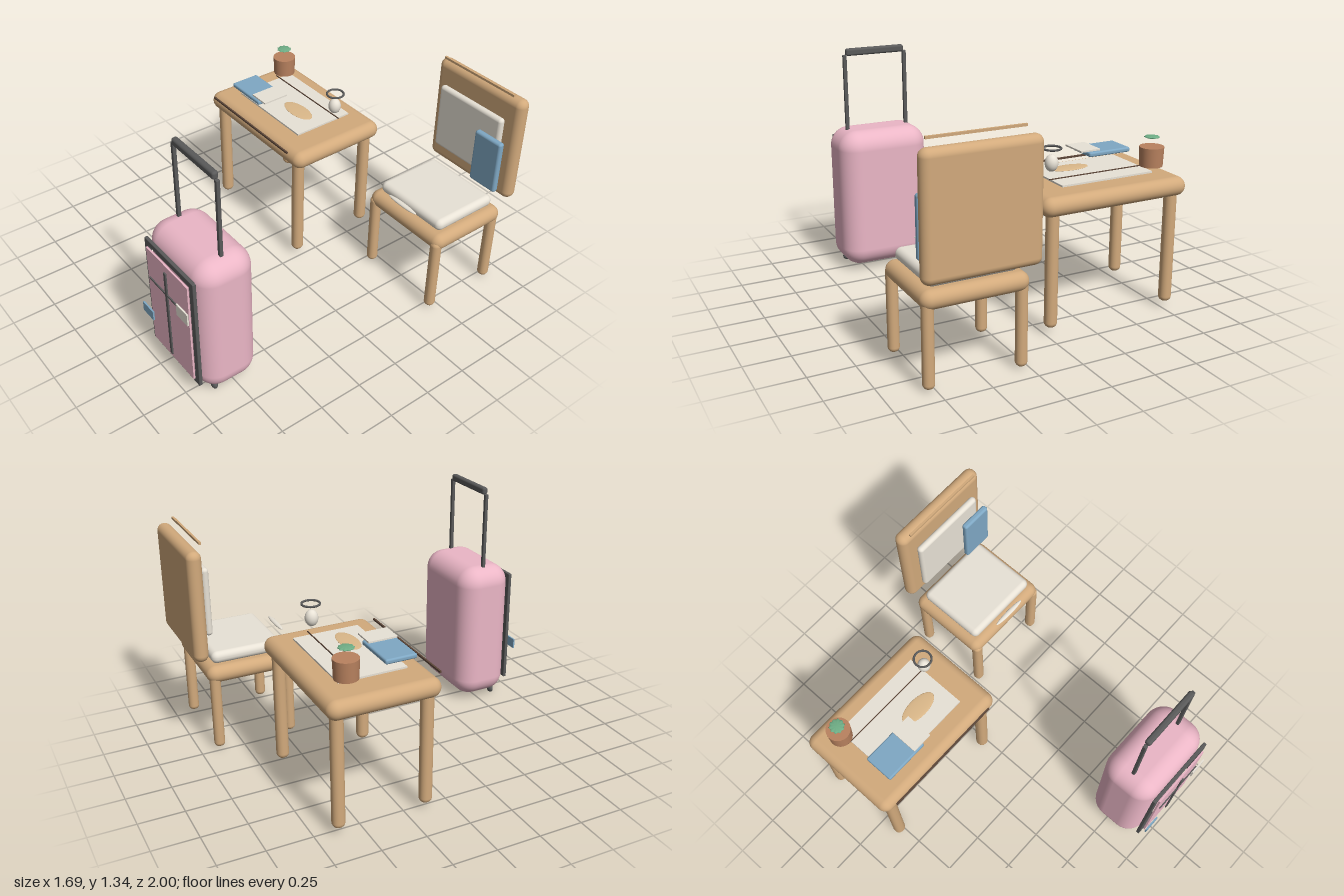
import * as THREE from 'three';
import { RoundedBoxGeometry } from 'three/addons/geometries/RoundedBoxGeometry.js';

const mat = (color) => new THREE.MeshStandardMaterial({ color });
const WOOD = mat(0xd2aa7c), CREAM = mat(0xe8e2d6), BLUE = mat(0x7fa8c4), PINK = mat(0xebb6c6);
const DARK = mat(0x5a5a5a), BROWN = mat(0x5c4638), CLAY = mat(0xb9825f), GREEN = mat(0x6fae86), TAN = mat(0xdcb98a);

function add(parent, name, geometry, material, x, y, z) {
  const mesh = new THREE.Mesh(geometry, material);
  mesh.name = name;
  mesh.position.set(x, y, z);
  parent.add(mesh);
  return mesh;
}

// Box given by its extents on each axis; a radius rounds all its edges
function box(parent, name, material, [x0, x1], [y0, y1], [z0, z1], radius = 0) {
  const w = x1 - x0, h = y1 - y0, d = z1 - z0;
  const geometry = radius ? new RoundedBoxGeometry(w, h, d, 6, radius) : new THREE.BoxGeometry(w, h, d);
  return add(parent, name, geometry, material, (x0 + x1) / 2, (y0 + y1) / 2, (z0 + z1) / 2);
}

function ellipsoid(parent, name, material, [x, y, z], [rx, ry, rz]) {
  return add(parent, name, new THREE.SphereGeometry(1, 32, 20).scale(rx, ry, rz), material, x, y, z);
}

function legs(parent, name, xs, zs, y0, y1, r) {
  for (const x of xs) for (const z of zs)
    box(parent, name, WOOD, [x - r, x + r], [y0, y1], [z - r, z + r], r * 0.9);
}

function group(parent, name) {
  const g = new THREE.Group();
  g.name = name;
  parent.add(g);
  return g;
}

function buildTable(root) {
  const g = group(root, 'table');
  box(g, 'tableTop', WOOD, [-0.846, 0.04], [0.654, 0.76], [-0.69, -0.077], 0.053);
  legs(g, 'tableLeg', [-0.773, -0.034], [-0.135, -0.626], 0.036, 0.7, 0.034);
  box(g, 'frontRail', BROWN, [-0.77, -0.04], [0.756, 0.766], [-0.066, -0.056]);

  // Items on the table
  box(g, 'placeMat', CREAM, [-0.685, -0.122], [0.776, 0.786], [-0.573, -0.2]);
  box(g, 'matStripe', BROWN, [-0.705, -0.1], [0.793, 0.798], [-0.483, -0.478]);
  ellipsoid(g, 'ovalCoaster', TAN, [-0.305, 0.797, -0.342], [0.115, 0.005, 0.053]);
  box(g, 'book', BLUE, [-0.71, -0.445], [0.83, 0.857], [-0.331, -0.157], 0.01);
  box(g, 'note', CREAM, [-0.513, -0.391], [0.863, 0.872], [-0.326, -0.164]);

  // Potted plant with a scalloped, lens-shaped leaf disc
  add(g, 'plantPot', new THREE.CylinderGeometry(0.067, 0.063, 0.107, 32), CLAY, -0.701, 0.86, -0.538);
  const leaf = new THREE.SphereGeometry(1, 64, 12);
  const p = leaf.attributes.position;
  for (let i = 0; i < p.count; i++) {
    const r = 0.04 + 0.003 * Math.cos(10 * Math.atan2(p.getZ(i), p.getX(i)));
    p.setXYZ(i, p.getX(i) * r, p.getY(i) * 0.007, p.getZ(i) * r);
  }
  leaf.computeVertexNormals();
  add(g, 'plantLeaves', leaf, GREEN, -0.701, 0.966, -0.536);

  // Small vase with a ring above it
  ellipsoid(g, 'vase', CREAM, [-0.12, 0.879, -0.464], [0.036, 0.046, 0.036]);
  const ring = new THREE.TorusGeometry(0.048, 0.006, 10, 40).rotateX(Math.PI / 2);
  add(g, 'vaseRing', ring, DARK, -0.12, 0.959, -0.466);
}

function buildChair(root) {
  const g = group(root, 'chair');
  box(g, 'seat', WOOD, [0.25, 0.818], [0.41, 0.51], [-0.928, -0.429], 0.05);
  box(g, 'seatCushion', CREAM, [0.295, 0.774], [0.511, 0.581], [-0.887, -0.472], 0.033);
  legs(g, 'chairLeg', [0.287, 0.781], [-0.455, -0.885], 0.01, 0.473, 0.03);
  box(g, 'backrest', WOOD, [0.228, 0.842], [0.567, 1.2], [-1, -0.917], 0.041);
  box(g, 'backCushion', CREAM, [0.305, 0.762], [0.687, 1.078], [-0.908, -0.867], 0.02);
  box(g, 'pillow', BLUE, [0.626, 0.811], [0.645, 0.963], [-0.867, -0.83], 0.014);
  box(g, 'topStrip', WOOD, [0.283, 0.788], [1.224, 1.237], [-0.918, -0.905]);
  ellipsoid(g, 'seatFrontOval', CREAM, [0.534, 0.586, -0.422], [0.109, 0.01, 0.015]);
}

function buildSuitcase(root) {
  const g = group(root, 'suitcase');
  const cx = 0.362;
  box(g, 'suitcaseBody', PINK, [0.092, 0.632], [0.025, 0.86], [0.61, 0.94], 0.11);

  // Raised front frame and pocket
  const zf = [0.943, 0.963];
  for (const s of [-1, 1]) {
    const x = cx + s * 0.204, y = 0.443 + s * 0.328;
    box(g, 'frameSide', DARK, [x - 0.018, x + 0.018], [0.097, 0.788], zf, 0.004);
    box(g, 'frameBar', DARK, [0.142, 0.584], [y - 0.018, y + 0.018], zf, 0.004);
  }
  box(g, 'frontPocket', PINK, [0.174, 0.551], [0.13, 0.753], [0.966, 0.976]);
  box(g, 'verticalZip', DARK, [0.351, 0.373], [0.165, 0.72], [0.98, 0.989], 0.004);
  box(g, 'horizontalZip', DARK, [0.2, 0.524], [0.571, 0.58], [0.981, 0.988]);
  box(g, 'creamTag', CREAM, [0.472, 0.572], [0.535, 0.607], [0.99, 0.999]);
  box(g, 'blueTag', BLUE, [0.12, 0.219], [0.295, 0.354], [0.99, 0.999]);

  // Telescopic handle and wheels
  for (const s of [-1, 1]) {
    const x = cx + s * 0.186;
    box(g, 'handlePole', DARK, [x - 0.011, x + 0.011], [0.8, 1.302], [0.767, 0.787], 0.004);
    ellipsoid(g, 'wheel', DARK, [cx + s * 0.197, 0.025, 0.862], [0.025, 0.025, 0.016]);
  }
  box(g, 'handleGrip', DARK, [0.183, 0.541], [1.295, 1.338], [0.76, 0.794], 0.013);
}

export function createModel() {
  const root = new THREE.Group();
  root.name = 'tableChairAndSuitcase';
  buildTable(root);
  buildChair(root);
  buildSuitcase(root);
  return root;
}
